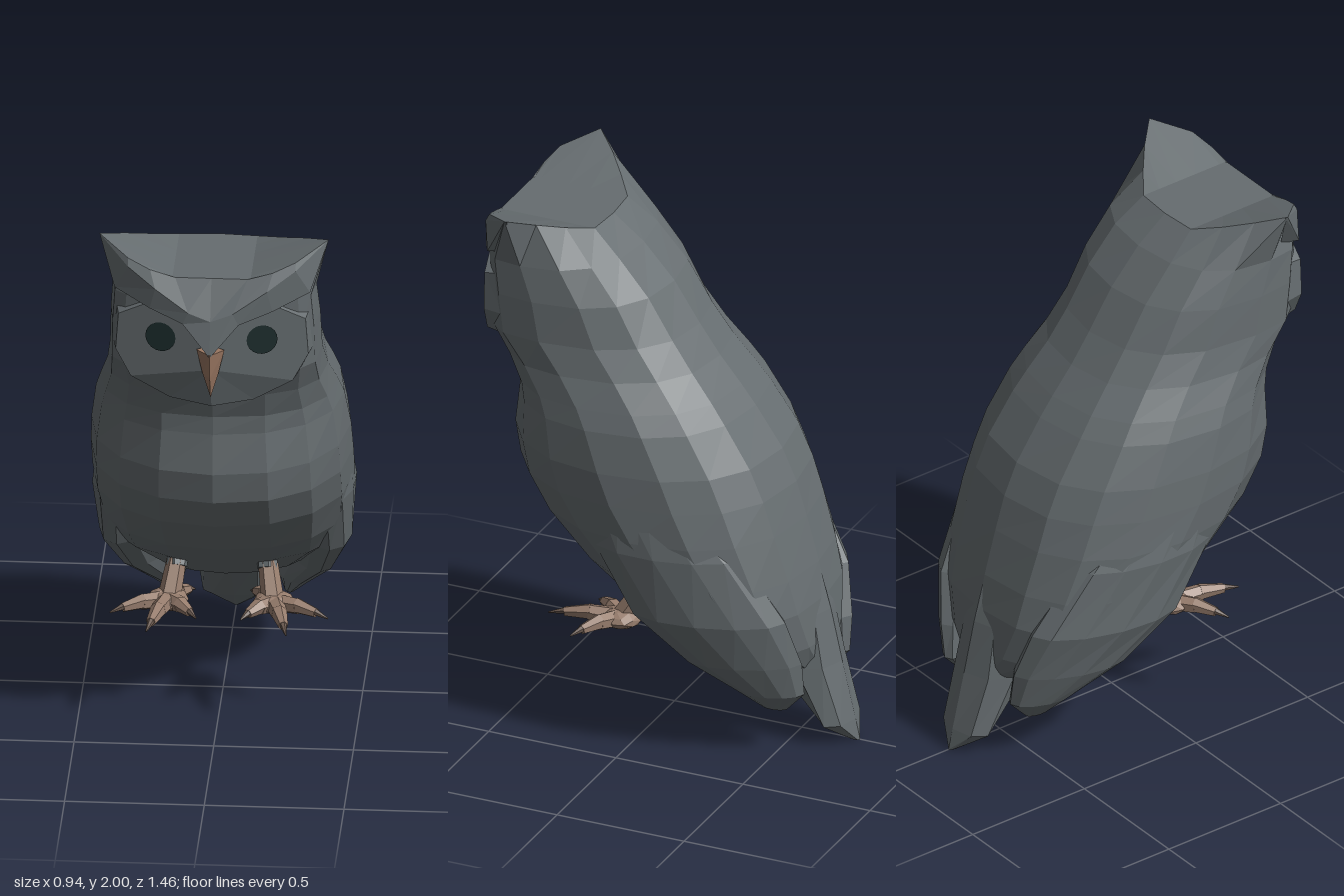
import * as THREE from 'three';

const mat = (name, color) => {
  const m = new THREE.MeshStandardMaterial({ color, flatShading: true });
  m.name = name;
  return m;
};

// Skin over rows of points; rows may be closed rings, with optional end caps
function skin(rows, { closed = true, caps = true } = {}) {
  const n = rows[0].length, pos = rows.flat(2), idx = [];
  for (let i = 0; i < rows.length - 1; i++) {
    for (let j = 0; j < (closed ? n : n - 1); j++) {
      const k = (j + 1) % n, a = i * n + j, b = i * n + k;
      idx.push(a, b, b + n, a, b + n, a + n);
    }
  }
  if (closed && caps) {
    [0, rows.length - 1].forEach((r, end) => {
      const c = pos.length / 3;
      for (let k = 0; k < 3; k++) pos.push(rows[r].reduce((s, p) => s + p[k], 0) / n);
      for (let j = 0; j < n; j++) {
        const a = r * n + j, b = r * n + (j + 1) % n;
        if (end) idx.push(c, a, b); else idx.push(c, b, a);
      }
    });
  }
  const g = new THREE.BufferGeometry();
  g.setAttribute('position', new THREE.Float32BufferAttribute(pos, 3));
  g.setIndex(idx);
  g.computeVertexNormals();
  return g;
}

// Level cross-section: front z, back z, half width, z of the widest point, fullness of front and back
function ring(y, zf, zb, w, zw, front = 2, back = 2.4, n = 16) {
  return Array.from({ length: n }, (_, i) => {
    const t = i / n * Math.PI * 2, s = Math.sin(t), c = Math.cos(t);
    const e = 2 / (c > 0 ? front : back);
    const x = w * Math.sign(s) * Math.abs(s) ** e;
    return [x, y, zw + ((c > 0 ? zf : zb) - zw) * Math.abs(c) ** e];
  });
}

// Right half of a closed outline mirrored into a full loop
const mirrorLoop = half => [...half, ...half.slice(1, -1).reverse().map(([x, y, z]) => [-x, y, z])];
// Half of a row mirrored into a full open row, running from -x to +x
const mirrorRow = half => [...half.slice(1).reverse().map(([x, y, z]) => [-x, y, z]), ...half];

export function createModel() {
  const model = new THREE.Group();
  model.name = 'owl';
  const plumage = mat('greyPlumage', 0x666d70);
  const brown = mat('footBrown', 0x987e6e);
  const beakMat = mat('beakBrown', 0x9a7762);
  const clawMat = mat('clawBrown', 0x6b5a50);
  const eyeMat = mat('eyeDark', 0x1e2e2e);

  const add = (name, geo, material, parent = model) => {
    const m = new THREE.Mesh(geo, material);
    m.name = name;
    parent.add(m);
    return m;
  };

  // Body and head in one loft, ending in a flat crown raised to two ear tufts
  const sections = [
    [0.28, -0.36, -0.61, 0.12, -0.47], [0.40, -0.10, -0.61, 0.31, -0.36],
    [0.55, 0.12, -0.595, 0.425, -0.25, 2.2], [0.68, 0.30, -0.568, 0.45, -0.15, 2.2],
    [0.85, 0.47, -0.52, 0.47, -0.04, 2.2], [0.98, 0.55, -0.48, 0.47, 0.04, 2.2],
    [1.10, 0.57, -0.425, 0.465, 0.09, 2.2], [1.25, 0.55, -0.32, 0.445, 0.15, 2.2],
    [1.32, 0.55, -0.265, 0.425, 0.19, 2.3], [1.42, 0.58, -0.18, 0.395, 0.27, 2.6],
    [1.53, 0.61, -0.10, 0.38, 0.36, 3.6], [1.68, 0.61, 0.00, 0.375, 0.39, 4],
    [1.81, 0.61, 0.12, 0.365, 0.44, 4],
  ];
  const crown = mirrorLoop([
    [0, 1.9, 0.62], [0.13, 1.9, 0.62], [0.22, 1.925, 0.615], [0.3, 1.957, 0.59], [0.41, 2, 0.48],
    [0.325, 1.965, 0.395], [0.235, 1.93, 0.32], [0.14, 1.9, 0.25], [0, 1.9, 0.24],
  ]);
  const flat = crown.map(([x, , z]) => [THREE.MathUtils.clamp(x, -0.14, 0.14), 1.9, z]);
  add('bodyAndHead', skin([...sections.map(s => ring(...s)), crown, flat]), plumage);

  // Tail wedge
  const tail = [
    [0, -0.69, -0.73, 0.012, -0.71], [0.08, -0.6, -0.712, 0.115, -0.64],
    [0.3, -0.38, -0.66, 0.135, -0.54], [0.5, -0.4, -0.615, 0.12, -0.52],
    [0.72, -0.4, -0.555, 0.05, -0.49],
  ];
  add('tail', skin(tail.map(s => ring(...s, 2, 2, 8))), plumage);

  // Folded wings hugging the body: y, centre x, centre z, half thickness, half depth, inward slant to the back
  const wing = [
    [0.17, 0.205, -0.49, 0.02, 0.045, 0.1], [0.24, 0.222, -0.485, 0.058, 0.115, 0.25],
    [0.37, 0.275, -0.4, 0.085, 0.2, 0.3], [0.55, 0.325, -0.28, 0.115, 0.28, 0.2],
    [0.8, 0.35, -0.13, 0.12, 0.28, 0.1], [1.05, 0.36, 0.02, 0.09, 0.2, 0],
  ];
  for (const s of [1, -1]) {
    add(s > 0 ? 'leftWing' : 'rightWing', skin(wing.map(([y, cx, cz, hx, hz, slant]) =>
      ring(y, cz + hz, cz - hz, hx, cz, 2, 2, 12)
        .map(([x, , z]) => [x + s * (cx + slant * (z - cz)), y, z]))), plumage);
  }

  // Face disc, folded along its middle, with a rim sinking into the head
  const faceZ = (x, y) => 0.667 - 0.22 * Math.abs(x) - 0.4 * Math.max(0, 1.5 - y);
  const outline = mirrorLoop([[0, 1.4], [0.15, 1.42], [0.29, 1.5], [0.345, 1.6],
    [0.335, 1.74], [0.22, 1.8], [0.1, 1.77], [0, 1.66]].map(([x, y]) => [x, y, faceZ(x, y)]));
  const rim = outline.map(([x, y, z]) => [x * 1.04, 1.6 + (y - 1.6) * 1.1, z - 0.08]);
  add('faceDisc', skin([rim, outline, outline.map(() => [0, 1.56, 0.667])], { caps: false }), plumage);

  // Brow ridge sweeping from the beak up to the ear tufts
  const brow = [
    [[0, 1.635, 0.64], [0.1, 1.76, 0.61], [0.22, 1.8, 0.58], [0.34, 1.845, 0.5], [0.41, 2, 0.47]],
    [[0, 1.635, 0.728], [0.1, 1.745, 0.68], [0.22, 1.785, 0.64], [0.35, 1.835, 0.575], [0.41, 2, 0.48]],
    [[0, 1.76, 0.69], [0.08, 1.79, 0.685], [0.2, 1.865, 0.65], [0.3, 1.93, 0.605], [0.41, 2, 0.48]],
    [[0, 1.9, 0.62], [0.13, 1.9, 0.62], [0.22, 1.925, 0.615], [0.3, 1.957, 0.59], [0.41, 2, 0.48]],
  ];
  add('brow', skin(brow.map(mirrorRow), { closed: false }), plumage);

  // Beak: ridged at the front, curving down to a point
  const beak = [[1.46, 0.002, 0.682, 0.66], [1.55, 0.028, 0.714, 0.65], [1.645, 0.05, 0.73, 0.64]];
  add('beak', skin(beak.map(([y, w, zf, zb]) =>
    [[0, y, zf], [w, y, zf - (zf - zb) * 0.6], [0, y, zb], [-w, y, zf - (zf - zb) * 0.6]])), beakMat);

  // Eyes lying on the slanted face planes
  for (const s of [1, -1]) {
    const eye = add(s > 0 ? 'leftEye' : 'rightEye', new THREE.CircleGeometry(0.056, 20), eyeMat);
    eye.position.set(s * 0.182, 1.67, faceZ(0.182, 1.67) + 0.005);
    eye.rotation.y = s * Math.atan(0.22);
  }

  // Tapered limb from a to b
  const limb = (name, a, b, ra, rb, material, parent) => {
    const va = new THREE.Vector3(...a), vb = new THREE.Vector3(...b), d = vb.clone().sub(va);
    const m = add(name, new THREE.CylinderGeometry(rb, ra, d.length(), 6), material, parent);
    m.position.copy(va).add(vb).multiplyScalar(0.5);
    m.quaternion.setFromUnitVectors(new THREE.Vector3(0, 1, 0), d.normalize());
  };

  // Legs and feet, each with three front toes and one behind
  const toes = [[0.39, 0.23], [0.25, 0.38], [0.08, 0.26], [0.1, 0.01]];
  for (const s of [1, -1]) {
    const leg = new THREE.Group();
    leg.name = s > 0 ? 'leftLeg' : 'rightLeg';
    model.add(leg);
    limb('thighFeathers', [s * 0.155, 0.6, -0.01], [s * 0.162, 0.5, 0.06], 0.045, 0.038, plumage, leg);
    limb('shank', [s * 0.16, 0.54, 0.035], [s * 0.185, 0.4, 0.12], 0.034, 0.042, brown, leg);
    const pad = add('footPad', new THREE.IcosahedronGeometry(0.075, 1), brown, leg);
    pad.scale.set(1, 0.5, 1);
    pad.position.set(s * 0.19, 0.398, 0.12);
    for (const [tx, tz] of toes) {
      const at = (f, y) => [s * (0.19 + (tx - 0.19) * f), y, 0.12 + (tz - 0.12) * f];
      limb('toeBase', at(0.1, 0.398), at(0.45, 0.405), 0.034, 0.03, brown, leg);
      limb('toeEnd', at(0.42, 0.407), at(0.78, 0.398), 0.03, 0.018, brown, leg);
      limb('claw', at(0.76, 0.402), at(1, 0.388), 0.014, 0.003, clawMat, leg);
    }
  }
  return model;
}
